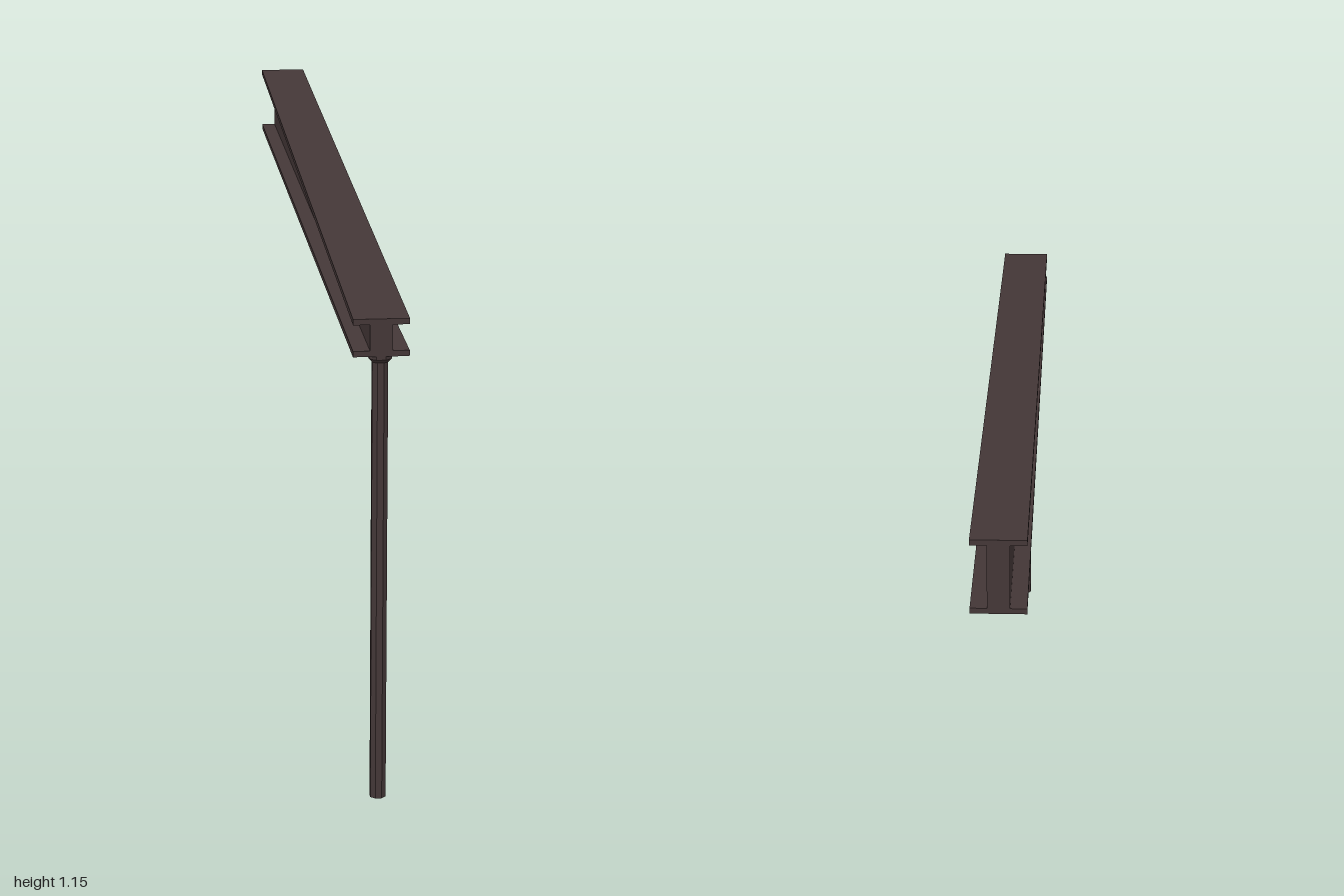
import * as THREE from 'three';

const steel = new THREE.MeshStandardMaterial({ color: 0x443737 });
steel.name = 'dark brown steel';

// Plate with a side profile of [z, y] corners, extruded across x
function sidePlate(name, profile, width) {
  const shape = new THREE.Shape(profile.map(([z, y]) => new THREE.Vector2(-z, y)));
  const geometry = new THREE.ExtrudeGeometry(shape, { depth: width, bevelEnabled: false });
  geometry.translate(0, 0, -width / 2);
  geometry.rotateY(Math.PI / 2);
  const mesh = new THREE.Mesh(geometry, steel);
  mesh.name = name;
  return mesh;
}

// Faceted round section with one flat side facing the front
function roundSection(name, topRadius, bottomRadius, y0, y1, z) {
  const geometry = new THREE.CylinderGeometry(topRadius, bottomRadius, y1 - y0, 8).toNonIndexed();
  geometry.rotateY(Math.PI / 8);
  geometry.computeVertexNormals();
  const mesh = new THREE.Mesh(geometry, steel);
  mesh.name = name;
  mesh.position.set(0, (y0 + y1) / 2, z);
  return mesh;
}

export function createModel() {
  const model = new THREE.Group();
  model.name = 'taperedBeamOnPost';

  // Heights of the sloping beam at the front and back ends
  const front = { bottom: 0.873, top: 0.944 };
  const back = { bottom: 1.001, top: 1.151 };
  const t = 0.011;
  const strip = (f0, f1, b0, b1) => [[1, f0], [-1, b0], [-1, b1], [1, f1]];

  // Tapered I-beam
  const beam = new THREE.Group();
  beam.name = 'beam';
  beam.add(
    sidePlate('topFlange', strip(front.top - t, front.top, back.top - t, back.top), 0.105),
    sidePlate('web', strip(front.bottom + t, front.top - t, back.bottom + t, back.top - t), 0.042),
    sidePlate('bottomFlange', strip(front.bottom, front.bottom + t, back.bottom, back.bottom + t), 0.105)
  );
  model.add(beam);

  // Slim post with a flared cap under the front end
  const postZ = 0.978;
  model.add(
    roundSection('post', 0.016, 0.016, 0, 0.866, postZ),
    roundSection('postCapFlare', 0.023, 0.016, 0.859, 0.866, postZ),
    roundSection('postCap', 0.023, 0.023, 0.866, 0.876, postZ)
  );
  return model;
}
